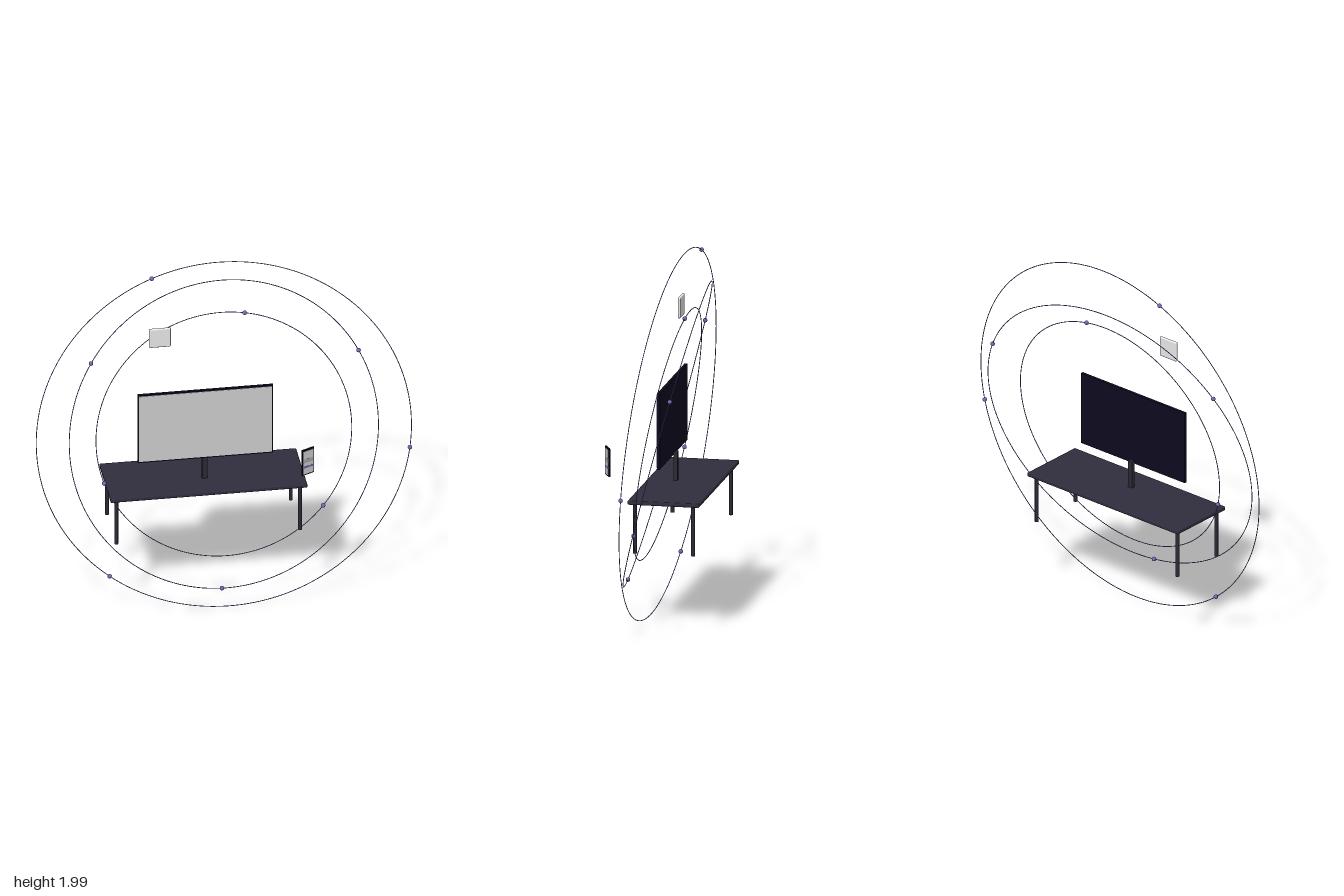
import * as THREE from 'three';
import { RoundedBoxGeometry } from 'three/addons/geometries/RoundedBoxGeometry.js';

const paint = (name, color) => {
  const m = new THREE.MeshStandardMaterial({ color });
  m.name = name;
  return m;
};

export function createModel() {
  const model = new THREE.Group();
  model.name = 'deskWithOrbits';

  const violet = paint('violet', 0x7268b4);
  const deskDark = paint('deskDark', 0x302d3e);
  const metal = paint('darkMetal', 0x2a2a36);
  const navy = paint('nearBlackNavy', 0x0d0b1e);
  const screenGrey = paint('screenGrey', 0xcccccc);
  const bandGrey = paint('bandGrey', 0xa6a6ac);
  const cardWhite = paint('cardWhite', 0xe8e8e8);

  const add = (parent, name, geometry, material, x = 0, y = 0, z = 0) => {
    const mesh = new THREE.Mesh(geometry, material);
    mesh.name = name;
    mesh.position.set(x, y, z);
    parent.add(mesh);
    return mesh;
  };
  const box = (w, h, d) => new THREE.BoxGeometry(w, h, d);

  // Tilted orbit rings: each lies on the plane z = a*x + b*y, with beads on it
  const orbits = [
    { r: 0.998, a: 0.036, b: -0.102, beads: [[-0.37, 0.925], [-0.62, -0.78], [0.985, -0.14]] },
    { r: 0.841, a: -0.095, b: -0.27, beads: [[-0.70, 0.46], [0.745, 0.35], [-0.045, -0.81]] },
    { r: 0.684, a: -0.005, b: -0.18, beads: [[0.13, 0.66], [-0.65, -0.22], [0.52, -0.44]] },
  ];
  for (const { r, a, b, beads } of orbits) {
    const orbit = new THREE.Group();
    orbit.name = 'orbit';
    orbit.position.y = 0.998;
    model.add(orbit);
    const ring = add(orbit, 'orbitRing', new THREE.TorusGeometry(r, 0.0022, 8, 160), violet);
    const normal = new THREE.Vector3(-a, -b, 1).normalize();
    ring.quaternion.setFromUnitVectors(new THREE.Vector3(0, 0, 1), normal);
    for (const [x, y] of beads) {
      const p = new THREE.Vector3(x, y, a * x + b * y).setLength(r);
      add(orbit, 'orbitBead', new THREE.SphereGeometry(0.012, 16, 12), violet, p.x, p.y, p.z);
    }
  }

  // Desk
  const desk = new THREE.Group();
  desk.name = 'desk';
  model.add(desk);
  add(desk, 'deskTop', new RoundedBoxGeometry(1.052, 0.023, 0.386, 2, 0.006), deskDark, -0.099, 0.716, -0.064);
  for (const x of [-0.59, 0.392]) {
    for (const z of [0.095, -0.219]) {
      add(desk, 'deskLeg', new THREE.CylinderGeometry(0.0105, 0.0105, 0.27, 16), metal, x, 0.571, z);
    }
  }

  // Monitor on its stand
  const monitor = new THREE.Group();
  monitor.name = 'monitor';
  model.add(monitor);
  add(monitor, 'monitorStand', box(0.028, 0.157, 0.02), metal, -0.099, 0.805, -0.025);
  add(monitor, 'monitorBody', box(0.724, 0.412, 0.016), navy, -0.099, 1.07, -0.004);
  add(monitor, 'monitorScreen', box(0.71, 0.398, 0.002), screenGrey, -0.099, 1.07, 0.005);

  // Floating phone, turned towards the model's left
  const phone = new THREE.Group();
  phone.name = 'phone';
  phone.position.set(0.411, 0.932, 0.238);
  phone.rotation.y = 0.46;
  model.add(phone);
  add(phone, 'phoneBody', new RoundedBoxGeometry(0.078, 0.156, 0.009, 2, 0.003), navy);
  add(phone, 'phoneScreen', box(0.066, 0.138, 0.002), screenGrey, 0, -0.001, 0.005);
  add(phone, 'phoneBand', box(0.056, 0.022, 0.001), bandGrey, 0, 0.009, 0.0063);
  add(phone, 'phoneStripe', box(0.06, 0.011, 0.001), violet, 0, -0.029, 0.0063);

  // Floating tile
  add(model, 'floatingTile', new RoundedBoxGeometry(0.117, 0.113, 0.016, 3, 0.007), cardWhite, -0.342, 1.616, -0.003);

  return model;
}
